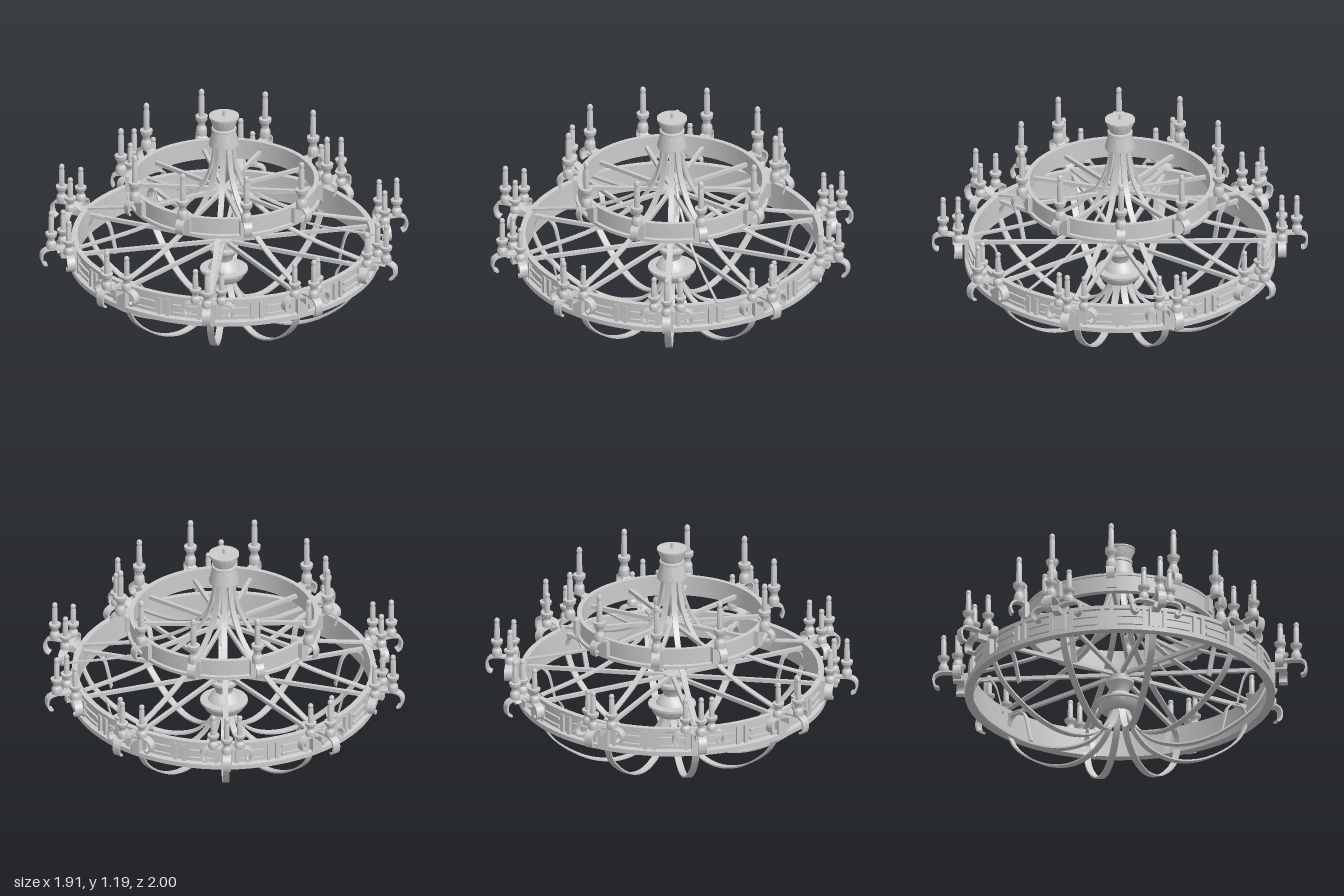
import * as THREE from 'three';
import { toCreasedNormals } from 'three/addons/utils/BufferGeometryUtils.js';

const metal = new THREE.MeshStandardMaterial({ color: 0xcccccc });
const V = ([x, y]) => new THREE.Vector2(x, y);

function mesh(name, geo, parent, x = 0, y = 0, z = 0) {
  const m = new THREE.Mesh(geo, metal);
  m.name = name;
  m.position.set(x, y, z);
  parent.add(m);
  return m;
}

// turned part with crisp profile edges
const turned = (pts, seg) =>
  toCreasedNormals(new THREE.LatheGeometry(pts.map(V), seg).toNonIndexed(), 0.6);

// flat bar bent along a smooth path in the x-y plane
function strap(path, width, thick, steps = 28) {
  const curve = new THREE.SplineCurve(path.map(V));
  const a = [], b = [];
  for (let i = 0; i <= steps; i++) {
    const p = curve.getPoint(i / steps), t = curve.getTangent(i / steps);
    const n = new THREE.Vector2(-t.y, t.x).multiplyScalar(thick / 2);
    a.push(p.clone().add(n));
    b.unshift(p.clone().sub(n));
  }
  const geo = new THREE.ExtrudeGeometry(new THREE.Shape([...a, ...b]),
    { depth: width, bevelEnabled: false });
  geo.translate(0, 0, -width / 2);
  return toCreasedNormals(geo, 0.6);
}

// curved plate lying on a ring, centred on local +x
function arcPlate(r, depth, y0, y1, from, to) {
  const s = new THREE.Shape();
  s.absarc(0, 0, r + depth, from, to, false);
  s.absarc(0, 0, r, to, from, true);
  const geo = new THREE.ExtrudeGeometry(s, { depth: y1 - y0, bevelEnabled: false, curveSegments: 6 });
  geo.rotateX(-Math.PI / 2).translate(0, y0, 0);
  return toCreasedNormals(geo, 0.6);
}

const candleGeo = turned([
  [0, 0], [0.028, 0], [0.031, 0.012], [0.03, 0.04], [0.02, 0.058], [0.022, 0.075], [0.034, 0.092],
  [0.036, 0.112], [0.017, 0.114], [0.016, 0.225], [0.013, 0.235], [0.017, 0.25], [0.013, 0.263], [0, 0.272],
], 14);

function candle(parent, x, y, z, height, girth) {
  const c = mesh('candle', candleGeo, parent, x, y, z);
  c.scale.set(girth, height / 0.272, girth);
}

export function createModel() {
  const root = new THREE.Group();
  root.name = 'chandelier';
  const STEP = Math.PI / 5;

  // ten-fold repeat around the axis
  const around = (name, offset, build) => {
    for (let i = 0; i < 10; i++) {
      const g = new THREE.Group();
      g.name = name;
      g.rotation.y = offset + i * STEP;
      build(g);
      root.add(g);
    }
  };

  // ceiling cap and rod
  mesh('ceilingCap', turned([[0, 0.99], [0.08, 0.99], [0.08, 1.0], [0.062, 1.07], [0.067, 1.073],
    [0.067, 1.088], [0.057, 1.092], [0.077, 1.148], [0.081, 1.15], [0.081, 1.16], [0, 1.16]], 32), root);
  mesh('ceilingRod', new THREE.CylinderGeometry(0.009, 0.009, 0.05, 10), root, 0, 1.165, 0);

  // lower hub, carrying the spokes of the lower wheel
  mesh('lowerHub', turned([[0, 0.205], [0.09, 0.205], [0.102, 0.215], [0.115, 0.25], [0.127, 0.253],
    [0.127, 0.265], [0.085, 0.268], [0.07, 0.295], [0.045, 0.315], [0.05, 0.335], [0.075, 0.37],
    [0.075, 0.385], [0.05, 0.39], [0.05, 0.44], [0, 0.445]], 32), root);

  // the two ring bands, each with a flange at the bottom
  mesh('lowerRing', turned([[0.778, 0.31], [0.825, 0.31], [0.825, 0.335], [0.798, 0.34], [0.798, 0.435],
    [0.808, 0.44], [0.808, 0.46], [0.778, 0.46], [0.778, 0.31]], 80), root);
  mesh('upperRing', turned([[0.48, 0.68], [0.515, 0.68], [0.515, 0.697], [0.5, 0.7], [0.5, 0.775],
    [0.505, 0.777], [0.505, 0.79], [0.48, 0.79], [0.48, 0.68]], 64), root);

  // shared shapes for the repeated arms
  const hangingStrap = strap([[0.05, 1.0], [0.068, 0.88], [0.115, 0.765], [0.22, 0.655], [0.45, 0.545],
    [0.785, 0.465]], 0.03, 0.01);
  const basket = strap([[0.035, 0.31], [0.05, 0.2], [0.1, 0.1], [0.19, 0.03], [0.33, 0.005],
    [0.48, 0.04], [0.62, 0.12], [0.73, 0.22], [0.785, 0.33]], 0.036, 0.009, 40);
  const innerCurl = strap([[0.782, 0.36], [0.76, 0.41], [0.71, 0.43], [0.665, 0.39], [0.642, 0.31],
    [0.625, 0.23]], 0.03, 0.008);
  const frontHook = strap([[0.8, 0.42], [0.83, 0.45], [0.88, 0.47], [0.95, 0.475], [0.985, 0.46],
    [0.994, 0.43], [0.985, 0.395], [0.965, 0.385]], 0.044, 0.011);
  const sideHook = strap([[0, 0.43], [0.02, 0.455], [0.07, 0.465], [0.115, 0.458], [0.135, 0.435],
    [0.132, 0.405], [0.115, 0.39], [0.1, 0.4]], 0.044, 0.011);
  const upperHook = strap([[0.5, 0.73], [0.51, 0.77], [0.535, 0.79], [0.57, 0.793], [0.595, 0.775],
    [0.598, 0.745], [0.588, 0.72]], 0.044, 0.011);
  const rails = [[0.35, 0.365], [0.395, 0.41]].flatMap(([y0, y1]) =>
    [[-0.25, -0.07], [0.07, 0.25]].map(([a, b]) => arcPlate(0.795, 0.014, y0, y1, a, b)));
  const panelPost = arcPlate(0.795, 0.018, 0.34, 0.44, -0.012, 0.012);

  // lower tier: straps, wheel spoke and a cluster of three candles
  around('lowerArm', Math.PI / 2, (g) => {
    mesh('hangingStrap', hangingStrap, g);
    mesh('lowerSpoke', new THREE.BoxGeometry(0.745, 0.02, 0.02), g, 0.415, 0.425, 0);
    mesh('basketStrap', basket, g);
    mesh('innerCurl', innerCurl, g);
    mesh('clusterBracket', new THREE.BoxGeometry(0.03, 0.12, 0.06), g, 0.812, 0.395, 0);
    mesh('clusterArm', new THREE.BoxGeometry(0.08, 0.035, 0.04), g, 0.85, 0.435, 0);
    mesh('frontHook', frontHook, g);
    candle(g, 0.94, 0.476, 0, 0.222, 0.9);
    for (const s of [-1, 1]) {
      mesh('sideHook', sideHook, g, 0.86).rotation.y = s * Math.PI / 2;
      candle(g, 0.86, 0.465, s * 0.07, 0.198, 0.9);
      // posts framing the panels between clusters
      mesh('panelPost', panelPost, g).rotation.y = s * 0.285;
      mesh('panelEndPost', panelPost, g).rotation.y = s * 0.07;
    }
    rails.forEach((r) => mesh('panelRail', r, g));
  });

  // upper tier: straight spoke and a single candle
  around('upperArm', 0, (g) => {
    mesh('upperSpoke', new THREE.BoxGeometry(0.485, 0.02, 0.02), g, 0.2425, 0.73, 0);
    mesh('upperBracket', new THREE.BoxGeometry(0.03, 0.09, 0.056), g, 0.51, 0.742, 0);
    mesh('upperHook', upperHook, g);
    candle(g, 0.55, 0.79, 0, 0.272, 0.95);
  });

  // single thin stay reaching past the lower ring on the left
  mesh('sideStay', strap([[0.06, 0.86], [0.12, 0.73], [0.27, 0.62], [0.5, 0.535], [0.86, 0.49]], 0.012, 0.009), root);
  return root;
}
